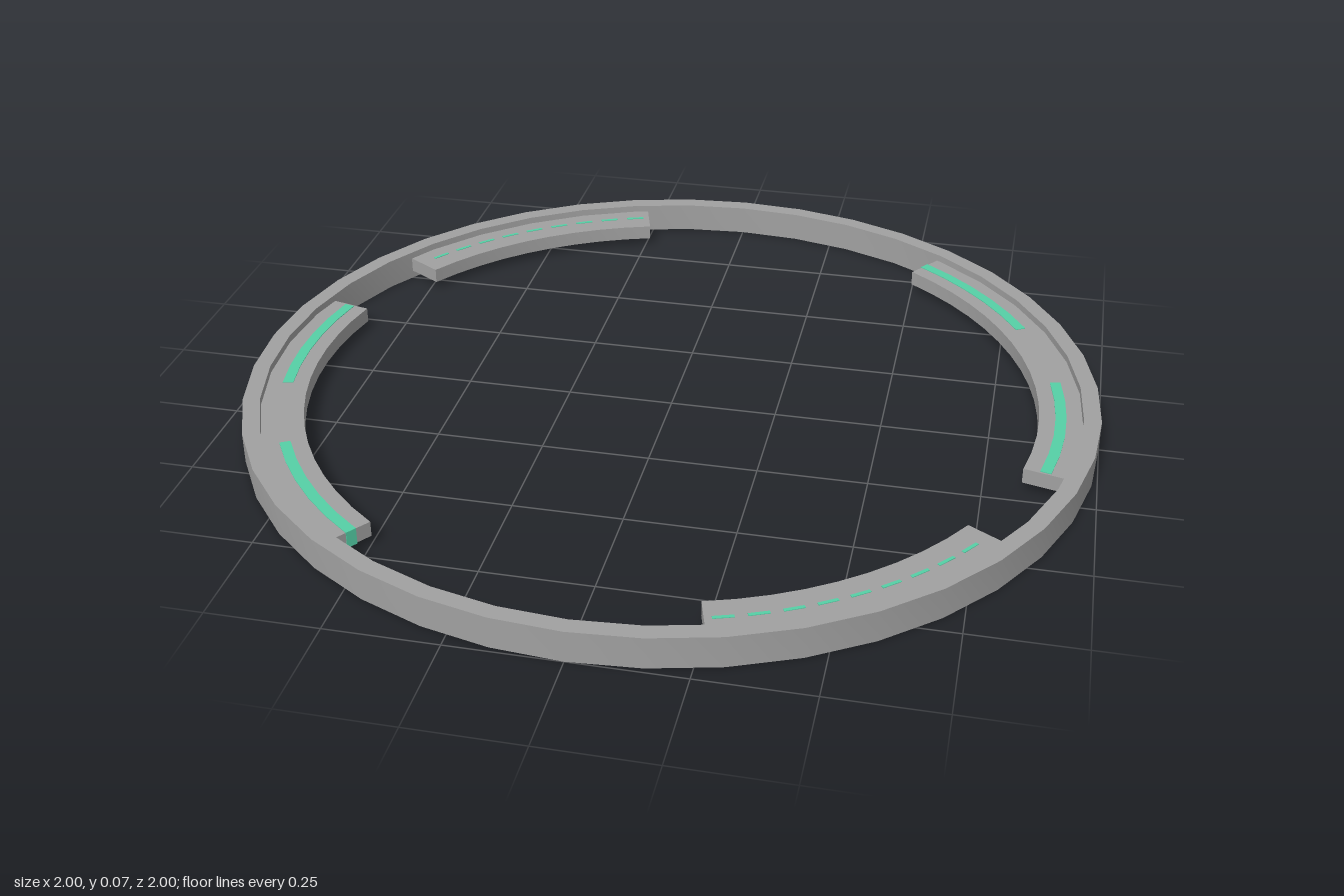
import * as THREE from 'three';
import { toCreasedNormals } from 'three/addons/utils/BufferGeometryUtils.js';

const RAD = Math.PI / 180;

// Points along an arc, angles in degrees (counter-clockwise seen from above)
function arc(radius, from, to, steps) {
  return Array.from({ length: steps + 1 }, (_, i) => {
    const a = (from + (to - from) * i / steps) * RAD;
    return new THREE.Vector2(radius * Math.cos(a), radius * Math.sin(a));
  });
}

// Extrude a ground-plan shape upward from y0 to y1
function upright(shape, y0, y1) {
  const geo = new THREE.ExtrudeGeometry(shape, { depth: y1 - y0, bevelEnabled: false });
  geo.rotateX(-Math.PI / 2).translate(0, y0, 0);
  return toCreasedNormals(geo, 0.5);
}

// Curved bar between two radii and two angles
function sector(rIn, rOut, from, to, y0, y1) {
  const steps = Math.max(1, Math.round((to - from) / 5));
  const outline = [...arc(rOut, from, to, steps), ...arc(rIn, to, from, steps)];
  return upright(new THREE.Shape(outline), y0, y1);
}

export function createModel() {
  const model = new THREE.Group();
  const gray = new THREE.MeshStandardMaterial({ color: 0xa0a0a0 });
  gray.name = 'metal gray';
  const green = new THREE.MeshStandardMaterial({ color: 0x55d0a6 });
  green.name = 'light green';

  const add = (parent, name, geo, material) => {
    const mesh = new THREE.Mesh(geo, material);
    mesh.name = name;
    parent.add(mesh);
  };

  // Outer band
  const band = new THREE.Shape(arc(1, 0, 351, 39));
  band.holes.push(new THREE.Path(arc(0.96, 0, 351, 39)));
  add(model, 'outerRing', upright(band, 0, 0.073), gray);

  // Two identical halves, each with a long and a short inner segment
  const low = 0.02, high = 0.056, lift = 0.0015;
  for (const side of ['right', 'left']) {
    const half = new THREE.Group();
    half.name = side + 'Segments';
    half.rotation.y = side === 'right' ? 0 : Math.PI;
    model.add(half);

    add(half, 'longSegment', sector(0.86, 0.965, -13.8, 54.5, low, high), gray);
    add(half, 'shortSegment', sector(0.86, 0.965, -74, -31.5, low, high), gray);

    // Light strips set through the long segment
    add(half, 'lightStrip', sector(0.897, 0.922, -13.5, 12, low - lift, high + lift), green);
    add(half, 'lightStrip', sector(0.897, 0.922, 29, 54.6, low - lift, high + lift), green);

    // Fine dashes on the short segment
    for (let i = 0; i < 9; i++) {
      const a = -73 + i * 4.5;
      add(half, 'lightDash', sector(0.911, 0.919, a, a + 2.8, high, high + lift), green);
    }
  }
  return model;
}
